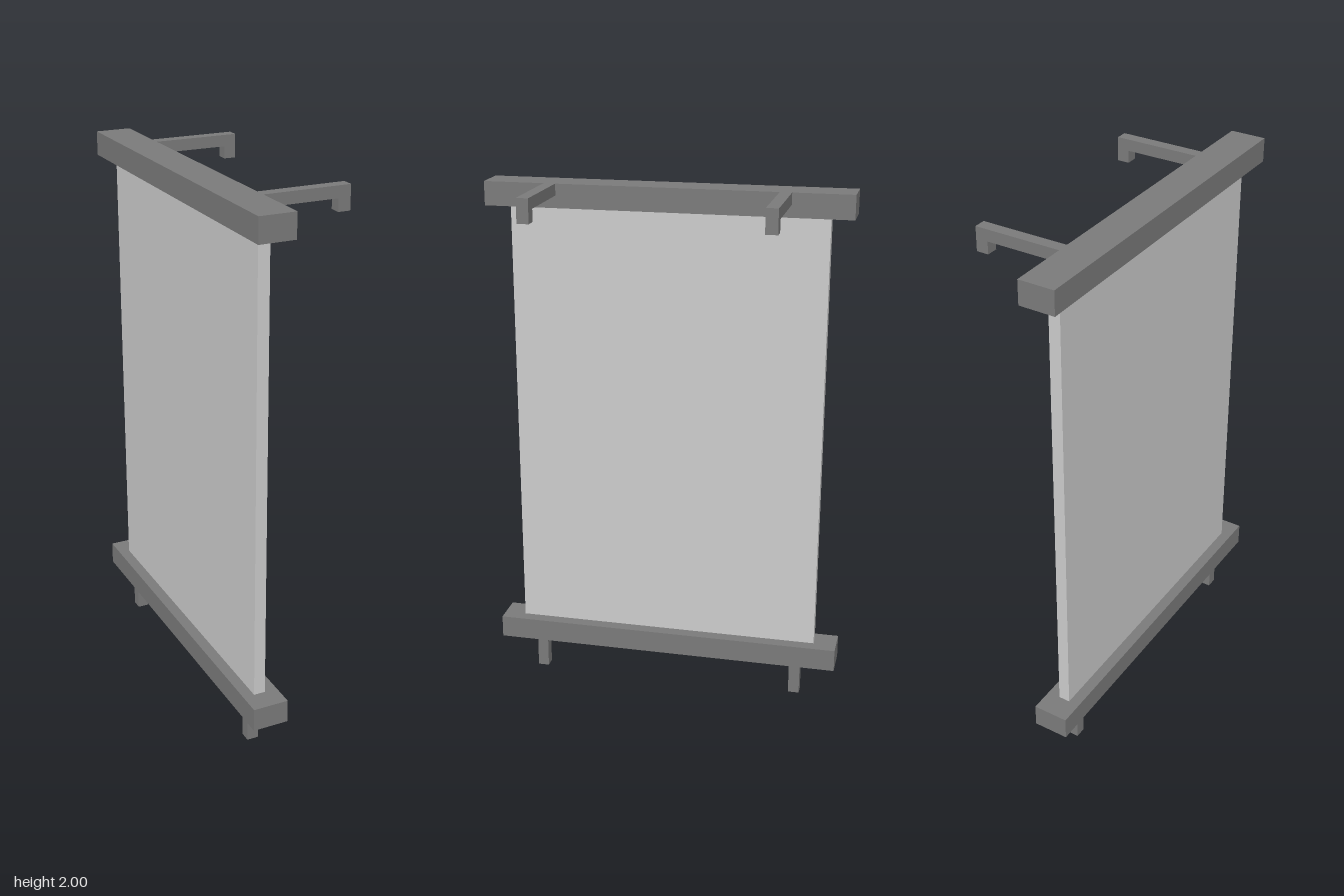
import * as THREE from 'three';

export function createModel() {
  const group = new THREE.Group();
  const frameGrey = new THREE.MeshStandardMaterial({ color: 0x7a7a7a });
  frameGrey.name = 'frame grey';
  const panelGrey = new THREE.MeshStandardMaterial({ color: 0xcbcbcb });
  panelGrey.name = 'panel light grey';

  // Box given by its [min, max] extents on each axis
  function box(name, material, [x0, x1], [y0, y1], [z0, z1]) {
    const mesh = new THREE.Mesh(new THREE.BoxGeometry(x1 - x0, y1 - y0, z1 - z0), material);
    mesh.position.set((x0 + x1) / 2, (y0 + y1) / 2, (z0 + z1) / 2);
    mesh.name = name;
    group.add(mesh);
  }

  // Hanging panel between two rails
  const railX = [-0.227, -0.094], panelX = [-0.185, -0.142], railZ = [-0.68, 0.68];
  box('topRail', frameGrey, railX, [1.911, 2], railZ);
  box('bottomRail', frameGrey, railX, [0.14, 0.227], railZ);
  box('panel', panelGrey, panelX, [0.227, 1.911], [-0.592, 0.596]);

  // Feet below the bottom rail
  for (const z of [-0.519, 0.524]) {
    box('foot', frameGrey, panelX, [0, 0.14], [z - 0.0215, z + 0.0215]);
  }

  // L-shaped hooks reaching out from the top rail
  const hook = new THREE.Shape([
    [-0.094, 2], [-0.094, 1.957], [0.182, 1.957], [0.182, 1.911], [0.227, 1.911], [0.227, 2],
  ].map(([x, y]) => new THREE.Vector2(x, y)));
  const hookGeometry = new THREE.ExtrudeGeometry(hook, { depth: 0.044, bevelEnabled: false });
  for (const z of [-0.434, 0.43]) {
    const mesh = new THREE.Mesh(hookGeometry, frameGrey);
    mesh.position.z = z - 0.022;
    mesh.name = 'hook';
    group.add(mesh);
  }
  return group;
}
